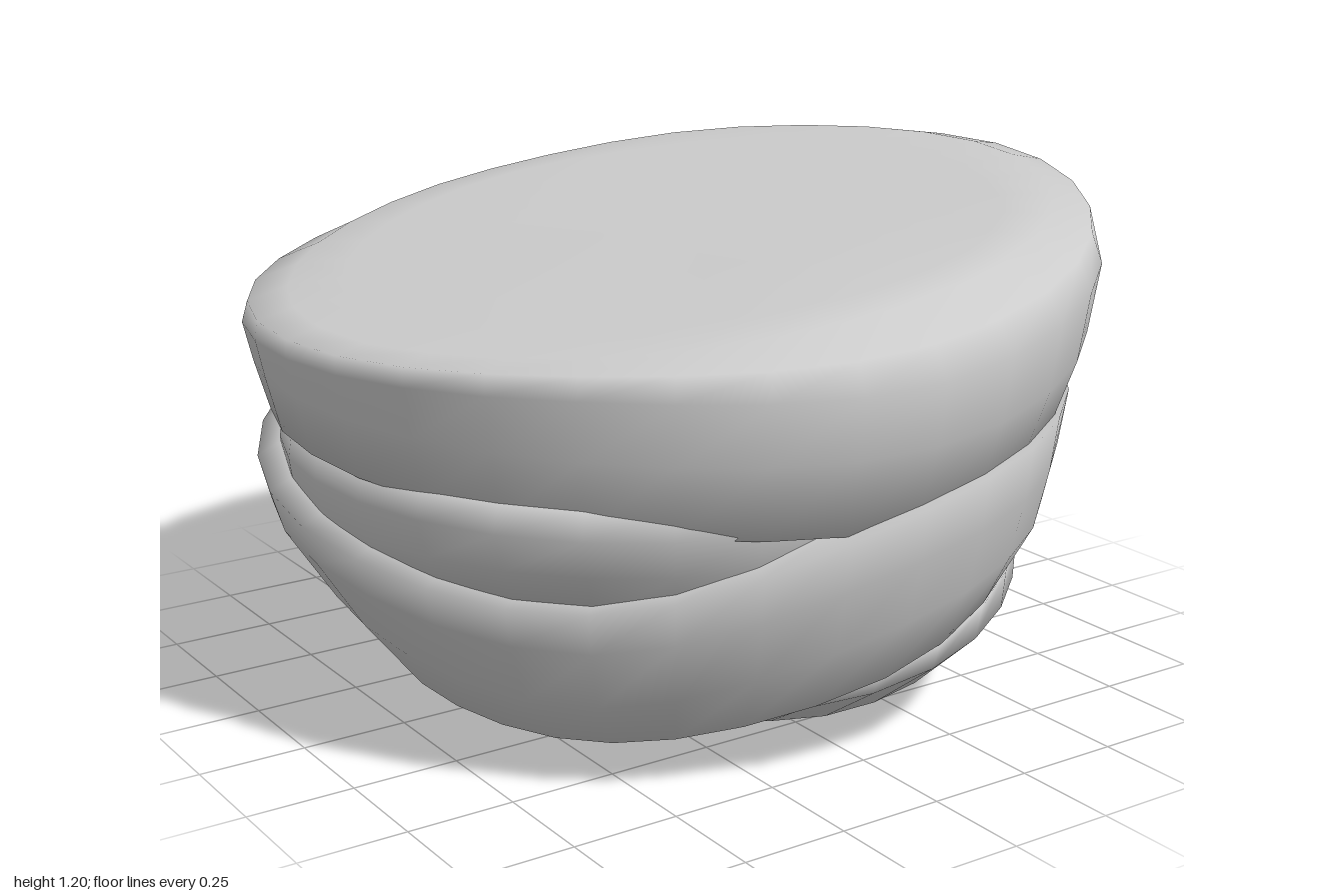
import * as THREE from 'three';

const SEGMENTS = 32;
const material = new THREE.MeshStandardMaterial({ color: 0xcccccc });

// Smooth periodic interpolation of values spaced evenly around the circle
// (order: +x, +x+z, +z, -x+z, -x, -x-z, -z, +x-z). A single number is constant.
function around(values, t) {
  if (typeof values === 'number') return values;
  const n = values.length, s = t * n, i = Math.floor(s), f = s - i;
  const v = (k) => values[(i + k + n) % n];
  const a = v(-1), b = v(0), c = v(1), d = v(2);
  return b + 0.5 * f * (c - a + f * (2 * a - 5 * b + 4 * c - d + f * (3 * (b - c) + d - a)));
}

// Closed rounded layer lofted through rings [radius, height], bottom to top
function layer(name, bottomY, rings, topY) {
  const pos = [], index = [];
  for (const [r, y] of rings) {
    for (let j = 0; j < SEGMENTS; j++) {
      const t = j / SEGMENTS, a = t * Math.PI * 2, radius = around(r, t);
      pos.push(Math.cos(a) * radius, around(y, t), Math.sin(a) * radius);
    }
  }
  const last = (rings.length - 1) * SEGMENTS;
  const bottom = rings.length * SEGMENTS, top = bottom + 1;
  pos.push(0, bottomY, 0, 0, topY, 0);
  for (let j = 0; j < SEGMENTS; j++) {
    const k = (j + 1) % SEGMENTS;
    for (let i = 0; i < last; i += SEGMENTS) {
      const a = i + j, b = i + k, c = a + SEGMENTS, d = b + SEGMENTS;
      index.push(a, c, b, b, c, d);
    }
    index.push(bottom, j, k, top, last + k, last + j);
  }
  const geometry = new THREE.BufferGeometry();
  geometry.setAttribute('position', new THREE.Float32BufferAttribute(pos, 3));
  geometry.setIndex(index);
  geometry.computeVertexNormals();
  const mesh = new THREE.Mesh(geometry, material);
  mesh.name = name;
  return mesh;
}

export function createModel() {
  const model = new THREE.Group();
  model.name = 'layeredMound';

  // Lowest bulge, mostly showing on the +x side
  model.add(layer('baseLayer', 0, [
    [[0.48, 0.48, 0.40, 0.32, 0.36, 0.40, 0.38, 0.46], [0.015, 0.02, 0.025, 0.03, 0.03, 0.03, 0.02, 0.015]],
    [[0.70, 0.70, 0.61, 0.42, 0.48, 0.58, 0.60, 0.68], [0.11, 0.10, 0.055, 0.04, 0.045, 0.065, 0.08, 0.10]],
    [[0.81, 0.82, 0.78, 0.52, 0.58, 0.68, 0.79, 0.81], [0.28, 0.26, 0.17, 0.06, 0.08, 0.13, 0.23, 0.27]],
    [[0.81, 0.825, 0.80, 0.53, 0.59, 0.69, 0.81, 0.825], [0.35, 0.36, 0.22, 0.08, 0.10, 0.16, 0.29, 0.34]],
    [[0.74, 0.74, 0.72, 0.45, 0.50, 0.60, 0.74, 0.75], [0.42, 0.44, 0.30, 0.14, 0.16, 0.24, 0.37, 0.41]],
  ], 0.3));

  // Broad bowl-shaped layer with a wavy, tilted rim
  model.add(layer('bowlLayer', 0.15, [
    [[0.62, 0.62, 0.62, 0.50, 0.54, 0.56, 0.62, 0.64], [0.35, 0.37, 0.20, 0.03, 0.035, 0.07, 0.23, 0.33]],
    [[0.815, 0.83, 0.82, 0.70, 0.70, 0.71, 0.82, 0.83], [0.36, 0.38, 0.22, 0.07, 0.085, 0.14, 0.28, 0.35]],
    [[0.855, 0.88, 0.89, 0.84, 0.84, 0.87, 0.90, 0.87], [0.46, 0.46, 0.37, 0.21, 0.26, 0.33, 0.42, 0.45]],
    [[0.89, 0.91, 0.93, 0.89, 0.95, 0.96, 0.93, 0.91], [0.64, 0.60, 0.52, 0.35, 0.43, 0.50, 0.59, 0.65]],
    [[0.92, 0.93, 0.94, 0.91, 0.98, 0.99, 0.99, 0.95], [0.77, 0.73, 0.635, 0.445, 0.52, 0.63, 0.70, 0.78]],
    [[0.88, 0.88, 0.89, 0.86, 0.92, 0.93, 0.93, 0.90], [0.80, 0.76, 0.66, 0.46, 0.55, 0.67, 0.75, 0.81]],
    [0.6, 0.65],
  ], 0.65));

  // Inner fold that bulges out on the -x side
  model.add(layer('innerFold', 0.42, [
    [[0.70, 0.75, 0.78, 0.86, 0.88, 0.84, 0.76, 0.70], 0.42],
    [[0.78, 0.80, 0.84, 0.92, 0.93, 0.91, 0.84, 0.78], 0.53],
    [[0.78, 0.80, 0.86, 0.96, 0.945, 0.92, 0.85, 0.78], 0.62],
    [[0.78, 0.80, 0.85, 0.94, 0.935, 0.91, 0.85, 0.78], 0.68],
    [0.8, 0.75],
  ], 0.8));

  // Tilted flat-topped lid with a rounded rim
  model.add(layer('topLayer', 0.65, [
    [0.72, [0.77, 0.71, 0.60, 0.64, 0.68, 0.70, 0.72, 0.77]],
    [[0.91, 0.91, 0.91, 0.93, 0.95, 0.95, 0.92, 0.91], [0.77, 0.71, 0.60, 0.635, 0.68, 0.69, 0.74, 0.77]],
    [[0.96, 0.965, 0.97, 0.965, 0.98, 0.99, 0.97, 0.96], [0.95, 0.87, 0.78, 0.79, 0.81, 0.80, 0.84, 0.93]],
    [[0.99, 0.99, 0.99, 0.985, 0.997, 1.015, 0.99, 0.99], [1.12, 1.03, 0.92, 0.92, 0.90, 0.90, 0.95, 1.08]],
    [[0.997, 0.965, 0.945, 0.98, 0.997, 0.985, 0.95, 0.985], [1.185, 1.10, 0.99, 0.97, 0.943, 0.96, 1.045, 1.15]],
    [[0.92, 0.87, 0.84, 0.89, 0.92, 0.88, 0.87, 0.91], [1.197, 1.14, 1.05, 0.985, 0.96, 1.005, 1.09, 1.175]],
    [0.76, [1.175, 1.14, 1.075, 1.005, 0.98, 1.015, 1.095, 1.16]],
    [0.4, [1.13, 1.115, 1.08, 1.045, 1.035, 1.05, 1.09, 1.12]],
  ], 1.08));

  return model;
}
